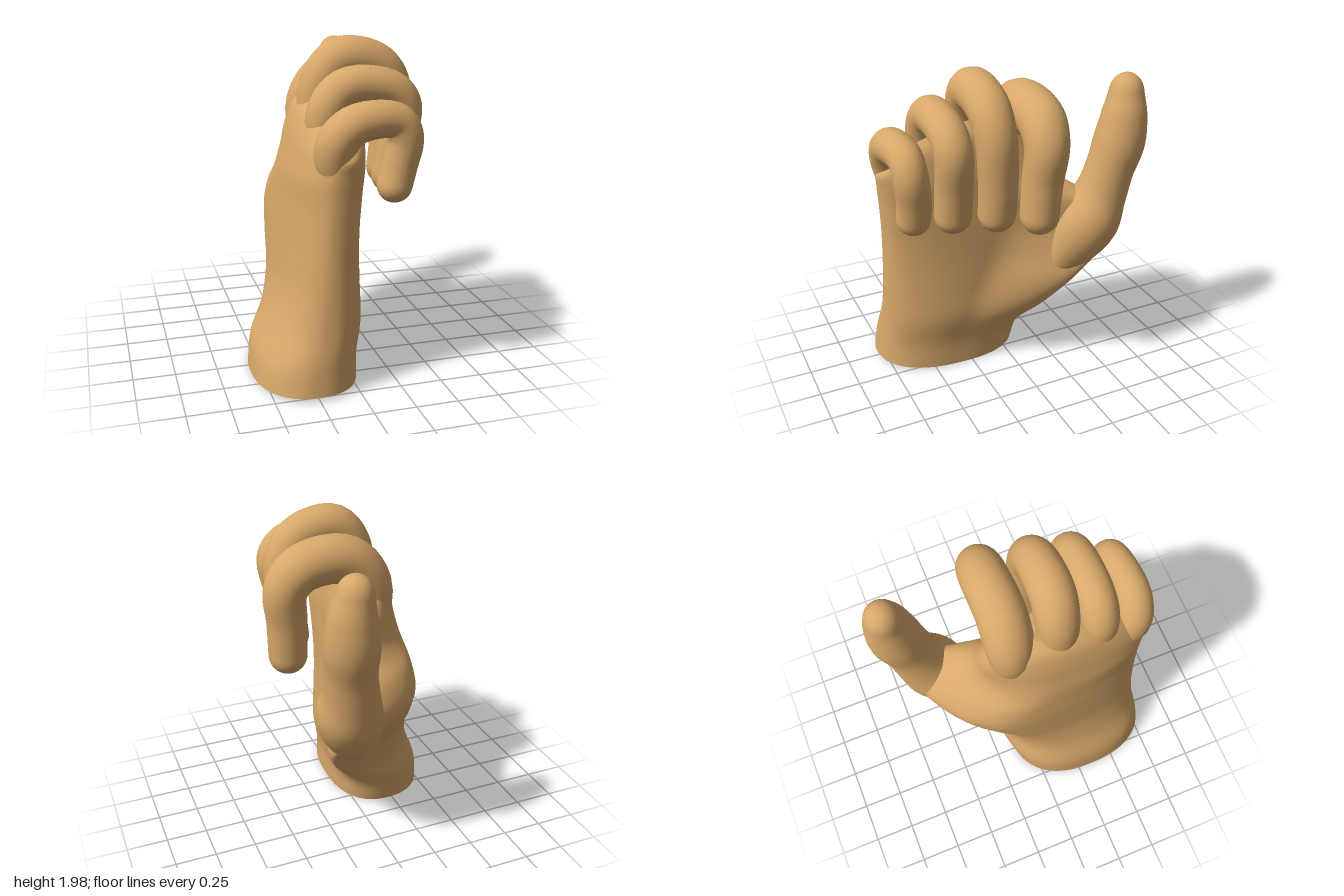
import * as THREE from 'three';

const SIDES = 40;
const skin = new THREE.MeshStandardMaterial({ color: 0xd8a86a });

// Smooth skin through a list of closed rings of equal length
function loft(name, rings) {
  const n = rings[0].length, index = [];
  for (let i = 0; i < rings.length - 1; i++) {
    for (let j = 0; j < n; j++) {
      const a = i * n + j, b = i * n + (j + 1) % n;
      index.push(a, a + n, b, b, a + n, b + n);
    }
  }
  const geo = new THREE.BufferGeometry().setFromPoints(rings.flat());
  geo.setIndex(index);
  geo.computeVertexNormals();
  const mesh = new THREE.Mesh(geo, skin);
  mesh.name = name;
  return mesh;
}

const collapsed = (ring) => {
  const c = new THREE.Vector3();
  ring.forEach((p) => c.addScaledVector(p, 1 / ring.length));
  return ring.map(() => c.clone());
};

// Digit swept along [x, y, z, radius] points, with a rounded tip
function digit(name, pts) {
  const path = new THREE.CatmullRomCurve3(pts.map((p) => new THREE.Vector3(p[0], p[1], p[2])));
  const radii = new THREE.CatmullRomCurve3(pts.map((p, i) => new THREE.Vector3(p[3], i, 0)), false, 'catmullrom');
  const end = path.getPoint(1), zAxis = new THREE.Vector3(0, 0, 1), rings = [];
  const steps = 56;
  for (let i = 0; i <= steps; i++) {
    const t = 1 - (1 - i / steps) ** 2;
    const c = path.getPoint(t), tan = path.getTangent(t);
    let r = radii.getPoint(t).x;
    const d = Math.min(1, c.distanceTo(end) / r);
    r *= Math.sqrt(Math.max(0, 1 - (1 - d) ** 2));
    const nrm = new THREE.Vector3().crossVectors(tan, zAxis).normalize();
    const bin = new THREE.Vector3().crossVectors(nrm, tan);
    rings.push(Array.from({ length: SIDES }, (_, j) => {
      const a = j / SIDES * Math.PI * 2;
      return c.clone().addScaledVector(nrm, r * Math.cos(a)).addScaledVector(bin, r * Math.sin(a));
    }));
  }
  return loft(name, rings);
}

// Palm and wrist sections: [y, centre x, half thickness, z min, z max, bend towards thumb, knuckle arch]
const sections = [
  [0.03, -0.25, 0.31, -0.12, 0.8, 0.03, -0.06],
  [0.2, -0.235, 0.3, -0.16, 0.785, 0.06, 0],
  [0.4, -0.175, 0.275, -0.25, 0.76, 0.23, 0],
  [0.6, -0.15, 0.25, -0.39, 0.75, 0.35, 0],
  [0.8, -0.14, 0.242, -0.57, 0.745, 0.38, 0],
  [0.97, -0.13, 0.238, -0.665, 0.745, 0.38, 0],
  [1.1, -0.12, 0.23, -0.59, 0.75, 0.34, 0],
  [1.2, -0.115, 0.222, -0.42, 0.755, 0.24, 0],
  [1.27, -0.11, 0.217, -0.33, 0.76, 0.16, 0.03],
  [1.36, -0.1, 0.207, -0.28, 0.765, 0.1, 0.1],
  [1.5, -0.09, 0.185, -0.25, 0.77, 0.05, 0.3],
  [1.62, -0.075, 0.15, -0.21, 0.75, 0.02, 0.55],
  [1.69, -0.05, 0.08, -0.12, 0.66, 0, 0.6],
];

function palm() {
  const soft = (v) => Math.sign(v) * Math.abs(v) ** 0.86;
  const columns = Array.from({ length: SIDES * 2 }, (_, j) => {
    const a = j / (SIDES * 2) * Math.PI * 2;
    const u = soft(Math.cos(a)), v = soft(Math.sin(a));
    // The mound of the thumb swells the palm side more than the back
    const swell = Math.max(0, u) ** (2.2 - 0.8 * v);
    return new THREE.CatmullRomCurve3(sections.map(([y, cx, hx, z0, z1, bend, arch]) => {
      const z = (z0 + z1) / 2 - u * (z1 - z0) / 2;
      return new THREE.Vector3(cx + hx * v + bend * swell, y - arch * (z - 0.15) ** 2, z);
    }));
  });
  const rings = Array.from({ length: 73 }, (_, i) => columns.map((c) => c.getPoint(i / 72)));
  // Flat wrist cut with a sharp rim, closed top under the knuckles
  const rim = rings[0].map((p) => p.clone().setY(p.y < 0 ? 0 : p.y));
  return loft('palm', [collapsed(rim), rim, ...rings, collapsed(rings[72])]);
}

const digits = {
  littleFinger: [[-0.1, 1.2, 0.63, 0.09], [-0.13, 1.46, 0.67, 0.115], [-0.03, 1.582, 0.695, 0.11],
    [0.21, 1.59, 0.685, 0.1], [0.265, 1.5, 0.68, 0.1], [0.24, 1.33, 0.66, 0.1], [0.19, 1.13, 0.66, 0.1]],
  ringFinger: [[-0.1, 1.3, 0.44, 0.09], [-0.12, 1.6, 0.45, 0.115], [-0.01, 1.742, 0.455, 0.113],
    [0.25, 1.725, 0.455, 0.11], [0.33, 1.63, 0.45, 0.11], [0.295, 1.4, 0.44, 0.11], [0.25, 1.12, 0.44, 0.11]],
  middleFinger: [[-0.1, 1.35, 0.2, 0.1], [-0.09, 1.71, 0.2, 0.125], [0.03, 1.87, 0.21, 0.13],
    [0.25, 1.835, 0.21, 0.125], [0.345, 1.7, 0.205, 0.12], [0.345, 1.4, 0.19, 0.115], [0.31, 1.1, 0.19, 0.11]],
  indexFinger: [[-0.08, 1.25, -0.08, 0.1], [-0.08, 1.58, -0.08, 0.14], [0.06, 1.755, -0.075, 0.145],
    [0.33, 1.745, -0.08, 0.14], [0.43, 1.63, -0.07, 0.13], [0.425, 1.4, -0.05, 0.12], [0.42, 1.08, -0.03, 0.115]],
  thumb: [[0.08, 0.5, -0.15, 0.05], [0.14, 0.75, -0.36, 0.155], [0.21, 0.97, -0.485, 0.2], [0.23, 1.15, -0.56, 0.165],
    [0.25, 1.32, -0.605, 0.15], [0.265, 1.5, -0.653, 0.157], [0.27, 1.68, -0.675, 0.135],
    [0.26, 1.8, -0.685, 0.107], [0.25, 1.915, -0.69, 0.09]],
};

export function createModel() {
  const hand = new THREE.Group();
  hand.name = 'hand';
  hand.add(palm());
  for (const [name, pts] of Object.entries(digits)) hand.add(digit(name, pts));
  return hand;
}
